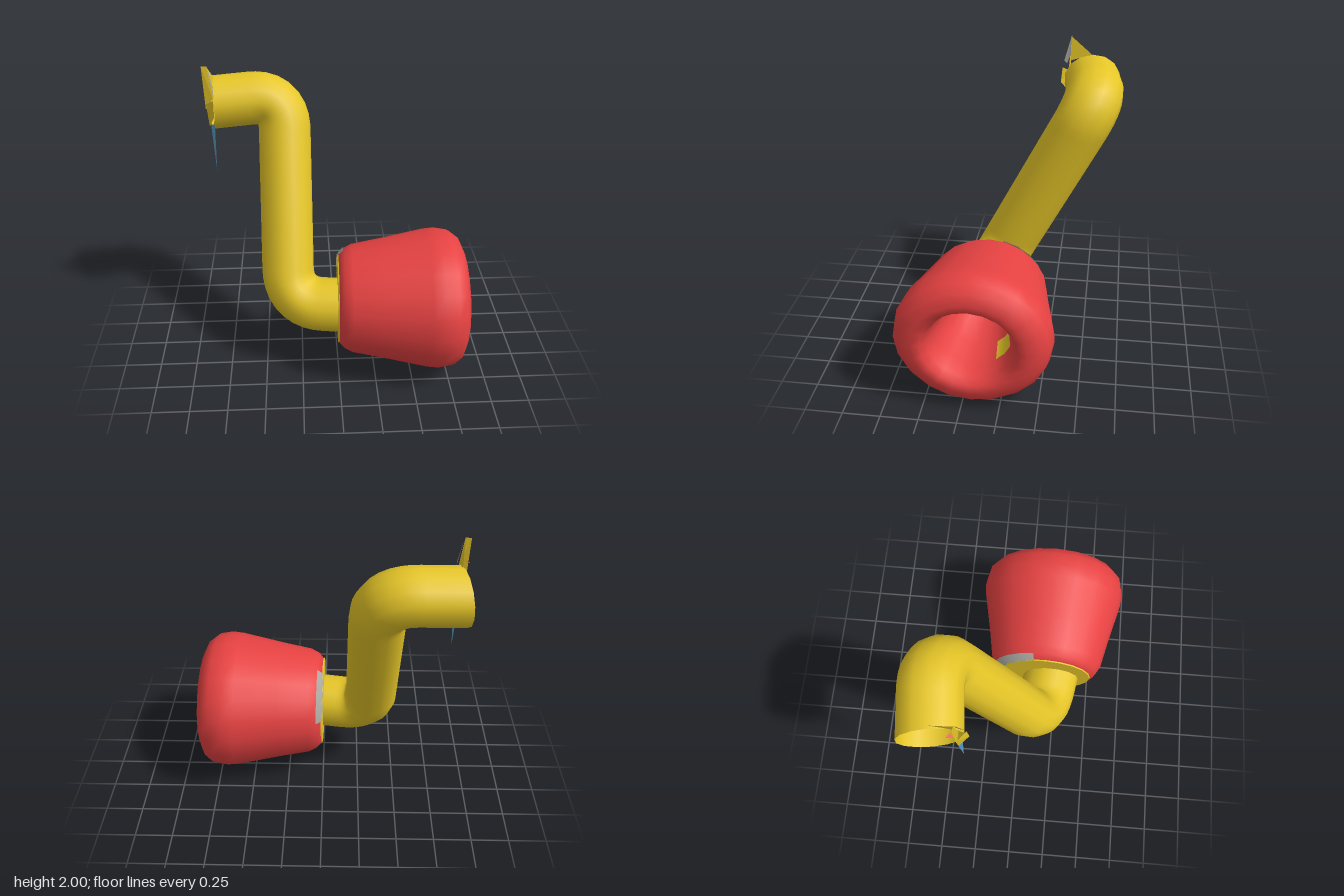
import * as THREE from 'three';

const mat = (name, color) => {
  const m = new THREE.MeshStandardMaterial({ color, side: THREE.DoubleSide });
  m.name = name;
  return m;
};

export function createModel() {
  const yellow = mat('yellow', 0xe6c628);
  const red = mat('red', 0xe84242);
  const grey = mat('grey', 0xa8a8a0);
  const blue = mat('blue', 0x5a9fc8);

  const model = new THREE.Group();
  model.name = 'bentPipeWithCup';
  const S = 1.115; // the sections are slightly wider in depth than in height
  const body = new THREE.Group();
  body.name = 'body';
  body.scale.z = S;
  model.add(body);
  const V = (x, y, z) => new THREE.Vector3(x, y, z);
  const add = (name, geo, m, parent = model) => {
    const mesh = new THREE.Mesh(geo, m);
    mesh.name = name;
    parent.add(mesh);
    return mesh;
  };

  // Open pipe: straight runs joined by rounded elbows
  const corners = [
    V(-0.835, 1.695, -0.457), V(-0.337, 1.722, -0.508),
    V(-0.337, 0.443, 0.155), V(0.03, 0.447, 0.215),
  ].map((p) => V(p.x, p.y, p.z / S));
  const path = new THREE.CurvePath();
  let from = corners[0];
  for (let i = 1; i < 3; i++) {
    const c = corners[i];
    const bend = 0.23;
    const a = c.clone().add(corners[i - 1].clone().sub(c).setLength(bend));
    const b = c.clone().add(corners[i + 1].clone().sub(c).setLength(bend));
    path.add(new THREE.LineCurve3(from, a));
    const k = 0.62; // slightly full elbow
    path.add(new THREE.CubicBezierCurve3(a, a.clone().lerp(c, k), b.clone().lerp(c, k), b));
    from = b;
  }
  path.add(new THREE.LineCurve3(from, corners[3]));
  const sides = 14;
  const pipe = new THREE.TubeGeometry(path, 48, 0.179, sides, false);
  // Slant the cut at the open end
  const pos = pipe.attributes.position;
  for (let i = 0; i <= sides; i++) {
    const dy = pos.getY(i) - corners[0].y;
    const dz = pos.getZ(i) - corners[0].z;
    pos.setX(i, pos.getX(i) + 0.1 * dy + 0.11 * dz);
  }
  add('pipe', pipe, yellow, body);

  // Flared cup with a rounded lip and a deep tapering hollow, turned to lie along x
  const cup = new THREE.Group();
  cup.name = 'cup';
  cup.position.set(0.005, 0.475, 0.165 / S);
  cup.rotation.set(0, -0.025, -Math.PI / 2);
  body.add(cup);
  const turn = (points, ...args) =>
    new THREE.LatheGeometry(points.map(([r, h]) => new THREE.Vector2(r, h)), ...args);
  add('cupShell', turn([
    [0.26, 0], [0.305, 0.01], [0.335, 0.04], [0.362, 0.095], [0.4, 0.3],
    [0.462, 0.6], [0.47, 0.68], [0.455, 0.77], [0.41, 0.83], [0.34, 0.862],
    [0.285, 0.85], [0.255, 0.8], [0.23, 0.68], [0.205, 0.52], [0.165, 0.35],
    [0.09, 0.17], [0.075, 0.16], [0.001, 0.16],
  ], 20), red, cup);

  // Yellow mark on the wall of the hollow
  const step = Math.PI / 10;
  add('hollowMark', turn([[0.199, 0.52], [0.224, 0.68]], 2, 7 * step, 2 * step), yellow, cup);

  // Back plate of the cup, with a grey seam along its upper rear edge
  add('cupBack', new THREE.CylinderGeometry(0.3, 0.295, 0.008, 20), yellow, cup).position.y = 0;
  add('greySeam', turn([[0.29, -0.006], [0.309, 0.006], [0.34, 0.038]], 4, 10.6 * step, 3.6 * step),
    grey, cup);

  // Flat polygon from a few corner points
  const flat = (name, pts, m) => {
    const g = new THREE.BufferGeometry().setFromPoints(pts);
    const index = [];
    for (let i = 1; i < pts.length - 1; i++) index.push(0, i, i + 1);
    g.setIndex(index);
    const flatGeo = g.toNonIndexed();
    flatGeo.computeVertexNormals();
    return add(name, flatGeo, m);
  };

  // Torn flaps and slivers around the open end of the pipe
  flat('upperFlap', [
    V(-0.835, 2.0, -0.3), V(-0.81, 1.88, -0.45), V(-0.81, 1.83, -0.3),
  ], yellow);
  flat('frontFlap', [
    V(-0.87, 2.0, -0.302), V(-0.832, 2.0, -0.302), V(-0.805, 1.78, -0.29), V(-0.858, 1.7, -0.3),
  ], yellow);
  flat('greyFlap', [
    V(-0.83, 2.0, -0.3), V(-0.805, 1.87, -0.3), V(-0.8, 1.81, -0.275), V(-0.805, 1.83, -0.255),
  ], grey);
  flat('lowerLip', [
    V(-0.855, 1.74, -0.3), V(-0.8, 1.78, -0.245), V(-0.8, 1.67, -0.235), V(-0.84, 1.58, -0.3),
  ], yellow);
  flat('redSliver', [V(-0.868, 1.86, -0.35), V(-0.835, 1.86, -0.33), V(-0.86, 1.85, -0.305)], red);
  flat('blueSpike', [V(-0.832, 1.59, -0.31), V(-0.803, 1.6, -0.28), V(-0.813, 1.25, -0.295)], blue);

  return model;
}
